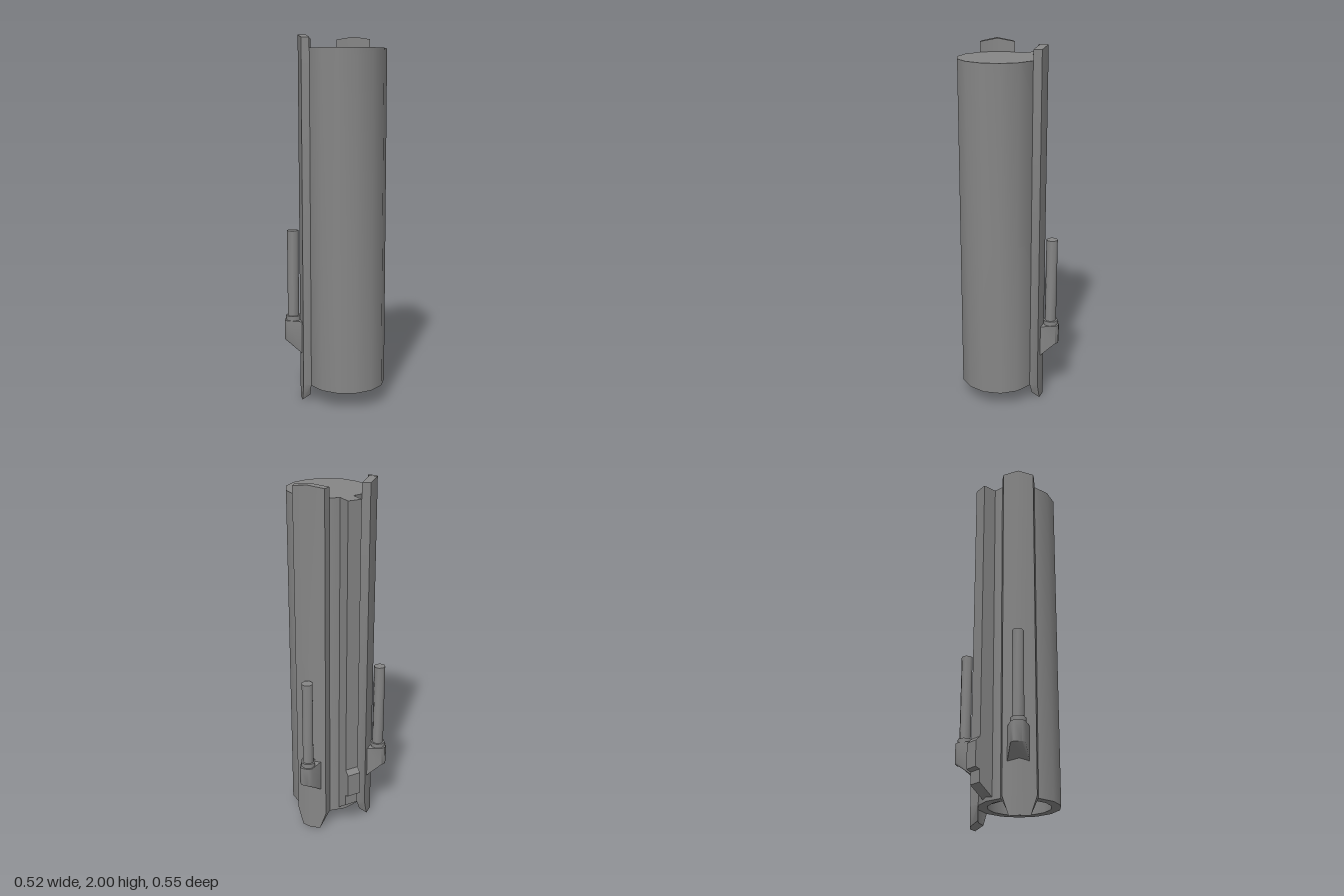
import * as THREE from 'three';
import { mergeGeometries, toCreasedNormals } from 'three/addons/utils/BufferGeometryUtils.js';

const AXIS_X = 0.048; // the barrel axis is offset from the centre
const material = new THREE.MeshStandardMaterial({ color: 0x868686 });

function part(name, geometry, parent, crease = 0.6) {
  const mesh = new THREE.Mesh(toCreasedNormals(geometry, crease), material);
  mesh.name = name;
  parent.add(mesh);
  return mesh;
}

const shapeOf = (points) => new THREE.Shape(points.map(([x, y]) => new THREE.Vector2(x, y)));

const extrude = (points, depth) =>
  new THREE.ExtrudeGeometry(shapeOf(points), { depth, bevelEnabled: false });

function moveVertices(geometry, rule) {
  const p = geometry.attributes.position;
  const v = new THREE.Vector3();
  for (let i = 0; i < p.count; i++) {
    v.fromBufferAttribute(p, i);
    rule(v);
    p.setXYZ(i, v.x, v.y, v.z);
  }
  return geometry;
}

// A group that turns around the barrel axis, its own +z pointing outwards
function flankGroup(name, degrees, parent) {
  const group = new THREE.Group();
  group.name = name;
  group.position.x = AXIS_X;
  group.rotation.y = THREE.MathUtils.degToRad(degrees);
  parent.add(group);
  return group;
}

// Side rail: a mirrored half outline, folded around the barrel's corner
function addRail(parent) {
  const halfWidth = 0.0855, inner = 0.193, thickness = 0.043;
  const half = [[0, 0], [0.053, 0], [halfWidth, 0.1], [halfWidth, 1.985], [0, 2]];
  const halves = [-1, 1].map((side) =>
    moveVertices(extrude(half.map(([x, y]) => [x * side, y]), thickness), (v) => {
      const isInner = v.z < 0.001;
      v.z += inner + 0.021 * (1 - Math.abs(v.x) / halfWidth);
      if (isInner) {
        v.x *= 1.085;
        if (v.y < 0.001) v.y = 0.03; // sloped underside of the foot
      }
    }));
  part('rail', mergeGeometries(halves), parent);
}

// Housing with a blunt nose and a sloping underside, carrying an upright rod
function addRodUnit(parent) {
  const crease = 1.1;
  const plan = [[-0.057, 0.235], [0.057, 0.235], [0.037, 0.325], [0.02, 0.341], [-0.02, 0.341], [-0.037, 0.325]];
  const housing = extrude(plan.map(([x, z]) => [x, -z]), 0.18);
  housing.rotateX(-Math.PI / 2);
  moveVertices(housing, (v) => {
    const reach = Math.min(1, (v.z - 0.235) / 0.09);
    v.y = v.y > 0.1 ? 0.45 : 0.262 + 0.078 * reach;
  });
  part('housing', housing, parent, crease);

  const collar = part('collar', new THREE.CylinderGeometry(0.041, 0.041, 0.05, 8), parent, crease);
  collar.position.set(0, 0.45, 0.294);
  const rod = part('rod', new THREE.CylinderGeometry(0.031, 0.031, 0.5, 8), parent, crease);
  rod.position.set(0, 0.705, 0.294);
}

export function createModel() {
  const model = new THREE.Group();
  model.name = 'model';

  // Fourteen-sided barrel with an open bore underneath
  const profile = [[0, 0.5], [0.165, 0.5], [0.165, 0.097], [0.214, 0.097], [0.214, 1.93], [0, 1.93]];
  const barrel = new THREE.LatheGeometry(
    profile.map(([x, y]) => new THREE.Vector2(x, y)), 14, Math.PI / 2);
  part('barrel', barrel, model).position.x = AXIS_X;

  // Flat spine with a small raised lug near its foot
  const spine = extrude([
    [-0.1, 0.1], [-0.155, 0.11], [-0.236, 0.175], [-0.236, 0.24], [-0.262, 0.25],
    [-0.262, 0.385], [-0.236, 0.41], [-0.236, 1.93], [-0.1, 1.93],
  ], 0.076);
  spine.translate(0, 0, -0.038);
  part('spine', spine, model);

  // Rails and rod units on the front and back flanks, mirrored in z
  addRail(flankGroup('frontRail', -39.3, model));
  addRail(flankGroup('backRail', -140.7, model));
  addRodUnit(flankGroup('frontRodUnit', -40.4, model));
  addRodUnit(flankGroup('backRodUnit', -139.6, model));
  return model;
}
